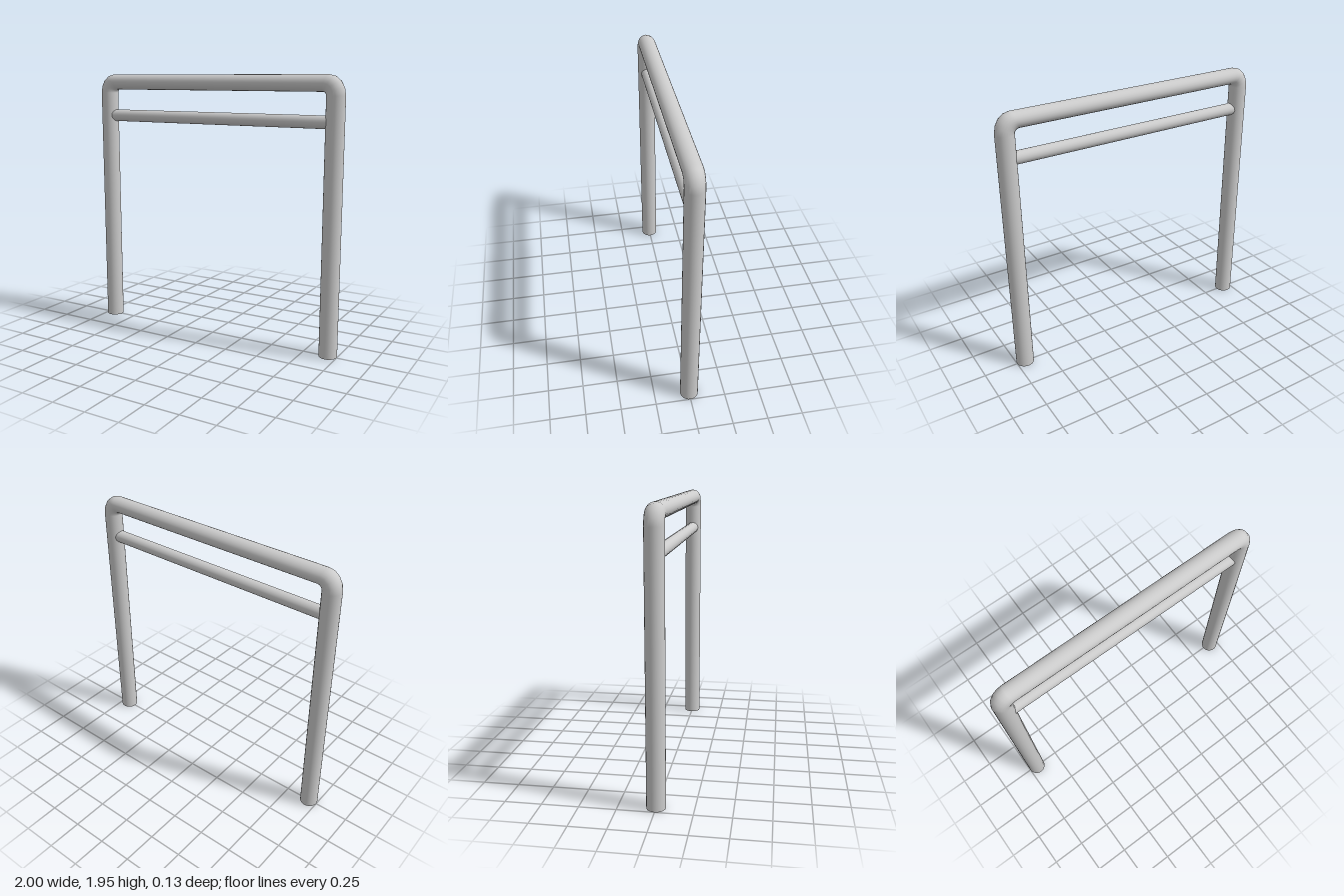
import * as THREE from 'three';

const SIDES = 24;
const DEPTH = 0.064; // tube half depth along z

// Sweeps an oval ring along stations, each given by its outer and inner edge point.
function sweepTube(stations) {
  const pos = [], index = [];
  stations.forEach(([outer, inner], i) => {
    const centre = outer.clone().add(inner).multiplyScalar(0.5);
    const half = outer.clone().sub(inner).multiplyScalar(0.5);
    for (let j = 0; j < SIDES; j++) {
      const a = (j / SIDES) * Math.PI * 2;
      const c = Math.cos(a);
      pos.push(centre.x + half.x * c, centre.y + half.y * c, DEPTH * Math.sin(a));
      if (i === 0) continue;
      const k = (j + 1) % SIDES;
      const p = (i - 1) * SIDES, q = i * SIDES;
      index.push(p + j, p + k, q + j, p + k, q + k, q + j);
    }
  });
  const geo = new THREE.BufferGeometry();
  geo.setAttribute('position', new THREE.Float32BufferAttribute(pos, 3));
  geo.setIndex(index);
  geo.computeVertexNormals();
  return geo;
}

export function createModel() {
  const group = new THREE.Group();
  const material = new THREE.MeshStandardMaterial({ color: 0xcccccc, side: THREE.DoubleSide });

  // Left half of the bent frame: foot, then a tight quarter bend to the top bar
  const half = [[new THREE.Vector2(1, 0), new THREE.Vector2(0.87, 0)]];
  const BEND = 4;
  for (let i = 0; i <= BEND; i++) {
    const a = (i / BEND) * Math.PI / 2;
    const c = Math.cos(a), s = Math.sin(a);
    half.push([
      new THREE.Vector2(0.885 + 0.115 * c, 1.81 + 0.14 * s),
      new THREE.Vector2(0.845 + 0.025 * c, 1.81 + 0.025 * s),
    ]);
  }
  // Mirror it for the right half
  const flip = (v) => new THREE.Vector2(-v.x, v.y);
  const mirrored = half.map(([o, n]) => [flip(o), flip(n)]).reverse();
  const frame = new THREE.Mesh(sweepTube([...half, ...mirrored]), material);
  frame.name = 'bentFrame';
  group.add(frame);

  // Thinner rail between the legs, ends buried in them
  const rail = new THREE.Mesh(new THREE.CylinderGeometry(0.045, 0.045, 1.8, SIDES, 1, true), material);
  rail.name = 'crossRail';
  rail.rotation.z = Math.PI / 2;
  rail.position.y = 1.635;
  group.add(rail);

  return group;
}
